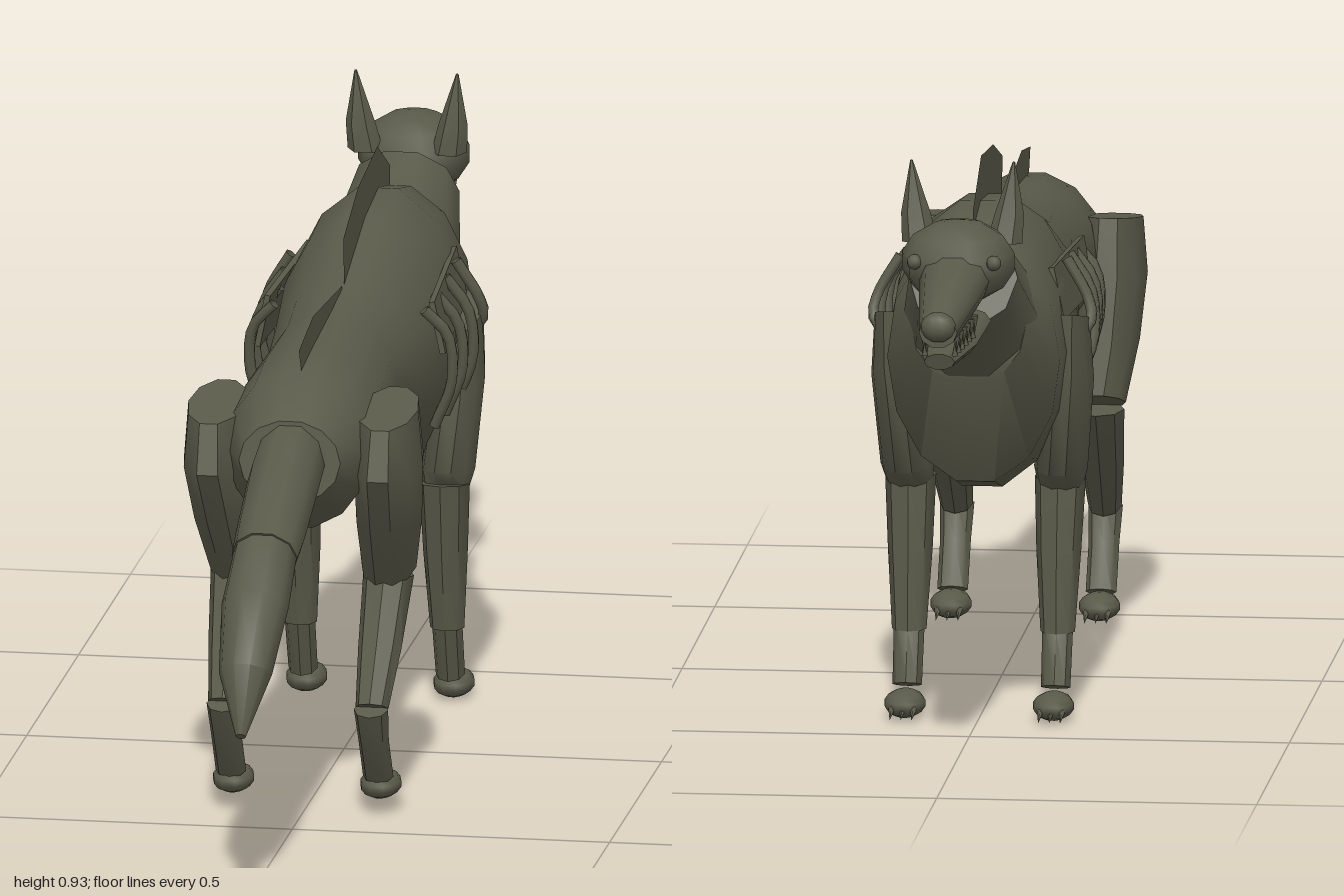
import * as THREE from 'three';
import { toCreasedNormals } from 'three/addons/utils/BufferGeometryUtils.js';

const hide = new THREE.MeshStandardMaterial({ color: 0x5a5a4a, side: THREE.DoubleSide });
hide.name = 'olive hide';

// Closed skin over elliptical rings. Each ring: [x, halfWidth, zA, yA, zB, yB],
// where A and B are the two ends of the ring in the side profile.
function loft(rings, sides = 10, crease = 0.75) {
  const pos = [], idx = [];
  for (const [x, w, za, ya, zb, yb] of rings) {
    for (let i = 0; i < sides; i++) {
      const a = (i / sides) * Math.PI * 2, c = Math.cos(a), s = Math.sin(a);
      pos.push(x + w * c, (ya + yb) / 2 + s * (ya - yb) / 2, (za + zb) / 2 + s * (za - zb) / 2);
    }
  }
  for (let r = 0; r < rings.length - 1; r++) {
    for (let i = 0; i < sides; i++) {
      const a = r * sides + i, b = r * sides + (i + 1) % sides;
      idx.push(a, b, a + sides, b, b + sides, a + sides);
    }
  }
  const last = (rings.length - 1) * sides;
  for (let i = 1; i < sides - 1; i++) {
    idx.push(0, i + 1, i, last, last + i, last + i + 1);
  }
  // turn the skin outward
  let volume = 0;
  const p = idx.map((i) => new THREE.Vector3(pos[i * 3], pos[i * 3 + 1], pos[i * 3 + 2]));
  for (let i = 0; i < p.length; i += 3) volume += p[i].dot(p[i + 1].clone().cross(p[i + 2]));
  if (volume < 0) idx.reverse();
  const g = new THREE.BufferGeometry();
  g.setAttribute('position', new THREE.Float32BufferAttribute(pos, 3));
  g.setIndex(idx);
  return toCreasedNormals(g, crease);
}

export function createModel() {
  const root = new THREE.Group();
  root.name = 'gaunt wolf';

  function add(name, geometry, parent = root) {
    const m = new THREE.Mesh(geometry, hide);
    m.name = name;
    parent.add(m);
    return m;
  }
  function ball(name, x, y, z, rx, ry, rz, parent) {
    const m = add(name, new THREE.SphereGeometry(1, 10, 7), parent);
    m.position.set(x, y, z);
    m.scale.set(rx, ry, rz);
    return m;
  }
  function spike(name, x, y, z, r, h, tilt, parent) {
    const m = add(name, new THREE.ConeGeometry(r, h, 5), parent);
    m.position.set(x, y, z);
    m.rotation.x = tilt;
    return m;
  }

  // Torso, from rump to breast
  add('torso', loft([
    [0, 0.08, 0.52, 0.67, 0.53, 0.54],
    [0, 0.115, 0.42, 0.725, 0.46, 0.48],
    [0, 0.12, 0.30, 0.735, 0.32, 0.48],
    [0, 0.107, 0.13, 0.745, 0.13, 0.50],
    [0, 0.12, 0.0, 0.757, 0.0, 0.47],
    [0, 0.138, -0.20, 0.815, -0.17, 0.415],
    [0, 0.142, -0.33, 0.83, -0.30, 0.36],
    [0, 0.135, -0.46, 0.80, -0.41, 0.39],
    [0, 0.09, -0.51, 0.76, -0.52, 0.57],
  ], 14));
  add('neck', loft([
    [0, 0.105, -0.46, 0.79, -0.49, 0.55],
    [0, 0.085, -0.55, 0.828, -0.635, 0.68],
  ]));

  // Tail in two overlapping lengths
  add('tailBase', loft([
    [0, 0.055, 0.49, 0.672, 0.51, 0.545],
    [0, 0.057, 0.60, 0.645, 0.57, 0.525],
    [0, 0.055, 0.73, 0.585, 0.69, 0.485],
    [0, 0.052, 0.79, 0.56, 0.74, 0.47],
  ]));
  add('tailTip', loft([
    [0, 0.05, 0.78, 0.562, 0.74, 0.472],
    [0, 0.053, 0.89, 0.495, 0.82, 0.425],
    [0, 0.042, 0.985, 0.40, 0.915, 0.35],
    [0, 0.008, 1.0, 0.29, 0.99, 0.28],
  ]));

  // Flat crests of fur along the spine, as [z, y] outlines
  const crests = {
    shoulderCrest: [[0.0, 0.72], [0.005, 0.83], [-0.135, 0.875], [-0.32, 0.893], [-0.445, 0.83], [-0.44, 0.76]],
    rumpCrest: [[0.40, 0.70], [0.435, 0.76], [0.30, 0.78], [0.02, 0.757], [0.02, 0.72]],
  };
  for (const [name, pts] of Object.entries(crests)) {
    const shape = new THREE.Shape(pts.map(([z, y]) => new THREE.Vector2(-z, y)));
    add(name, new THREE.ShapeGeometry(shape)).rotation.y = Math.PI / 2;
  }

  // Head
  const head = new THREE.Group();
  head.name = 'head';
  root.add(head);
  ball('skull', 0, 0.795, -0.67, 0.09, 0.066, 0.095, head);
  add('muzzle', loft([
    [0, 0.058, -0.70, 0.835, -0.70, 0.73],
    [0, 0.05, -0.78, 0.81, -0.78, 0.725],
    [0, 0.03, -0.98, 0.767, -0.98, 0.717],
  ]), head);
  add('lowerJaw', loft([
    [0, 0.05, -0.655, 0.72, -0.655, 0.677],
    [0, 0.042, -0.80, 0.708, -0.80, 0.67],
    [0, 0.024, -0.965, 0.705, -0.955, 0.678],
  ]), head);
  ball('nose', 0, 0.75, -0.977, 0.028, 0.024, 0.022, head);

  for (const s of [1, -1]) {
    const side = s > 0 ? 'left' : 'right';

    // Face details
    add(side + 'Ear', loft([
      [s * 0.066, 0.028, -0.585, 0.81, -0.635, 0.815],
      [s * 0.073, 0.023, -0.585, 0.855, -0.622, 0.86],
      [s * 0.08, 0.002, -0.6, 0.94, -0.603, 0.94],
    ], 6, 0.4), head);
    ball(side + 'Eye', s * 0.062, 0.805, -0.735, 0.012, 0.012, 0.014, head);
    for (let i = 0; i < 6; i++) {
      const z = -0.79 - i * 0.03;
      spike('upperTooth', s * (0.038 - i * 0.0025), 0.718, z, 0.006, 0.03, Math.PI, head);
      spike('lowerTooth', s * (0.036 - i * 0.0025), 0.712, z - 0.012, 0.005, 0.025, 0, head);
    }

    // Exposed flank and ribs
    const flank = add(side + 'FlankPlate', new THREE.BoxGeometry(0.009, 0.085, 0.31));
    flank.position.set(s * 0.13, 0.68, -0.21);
    flank.rotation.set(0.03, s * 0.05, s * 0.2);
    for (let i = 0; i < 4; i++) {
      const z = -0.05 - i * 0.077, out = i * 0.004, low = i === 3 ? 0.6 : 0.51;
      const curve = new THREE.CatmullRomCurve3([
        new THREE.Vector3(s * (0.118 + out), 0.705 + i * 0.007, z),
        new THREE.Vector3(s * (0.153 + out), 0.665, z - 0.01),
        new THREE.Vector3(s * (0.158 + out), (0.665 + low) / 2, z - 0.022),
        new THREE.Vector3(s * (0.128 + out), low, z - 0.038),
      ]);
      add(side + 'Rib', new THREE.TubeGeometry(curve, 10, 0.009, 6));
    }

    // Hind leg
    add(side + 'Thigh', loft([
      [s * 0.135, 0.046, 0.485, 0.648, 0.30, 0.675],
      [s * 0.134, 0.054, 0.505, 0.57, 0.275, 0.58],
      [s * 0.128, 0.052, 0.44, 0.475, 0.258, 0.48],
      [s * 0.12, 0.043, 0.355, 0.365, 0.245, 0.405],
    ]));
    add(side + 'Shank', loft([
      [s * 0.12, 0.04, 0.355, 0.375, 0.255, 0.37],
      [s * 0.118, 0.034, 0.41, 0.285, 0.345, 0.26],
      [s * 0.116, 0.026, 0.465, 0.205, 0.415, 0.18],
    ], 8));
    add(side + 'Hock', loft([
      [s * 0.116, 0.027, 0.475, 0.185, 0.425, 0.20],
      [s * 0.116, 0.024, 0.445, 0.13, 0.405, 0.145],
      [s * 0.116, 0.024, 0.395, 0.06, 0.365, 0.075],
    ], 8));

    // Foreleg
    add(side + 'Shoulder', loft([
      [s * 0.138, 0.03, -0.228, 0.62, -0.378, 0.655],
      [s * 0.134, 0.04, -0.22, 0.52, -0.372, 0.56],
      [s * 0.12, 0.042, -0.21, 0.40, -0.335, 0.39],
      [s * 0.118, 0.036, -0.23, 0.375, -0.285, 0.355],
    ]));
    add(side + 'Forearm', loft([
      [s * 0.117, 0.04, -0.207, 0.38, -0.295, 0.37],
      [s * 0.116, 0.035, -0.23, 0.26, -0.305, 0.26],
      [s * 0.116, 0.027, -0.258, 0.135, -0.31, 0.135],
    ], 8));
    add(side + 'Pastern', loft([
      [s * 0.116, 0.024, -0.26, 0.14, -0.308, 0.14],
      [s * 0.116, 0.023, -0.29, 0.045, -0.34, 0.06],
    ], 8));

    // Paws with claws
    for (const [name, y, z] of [['HindPaw', 0.05, 0.355], ['ForePaw', 0.03, -0.35]]) {
      ball(side + name, s * 0.116, y, z, 0.033, 0.022, 0.05);
      for (const k of [-1, 0, 1]) {
        spike(side + name + 'Claw', s * 0.116 + k * 0.017, y - 0.009, z - 0.05, 0.006, 0.036, -Math.PI / 2 - 0.35);
      }
    }
  }
  return root;
}
